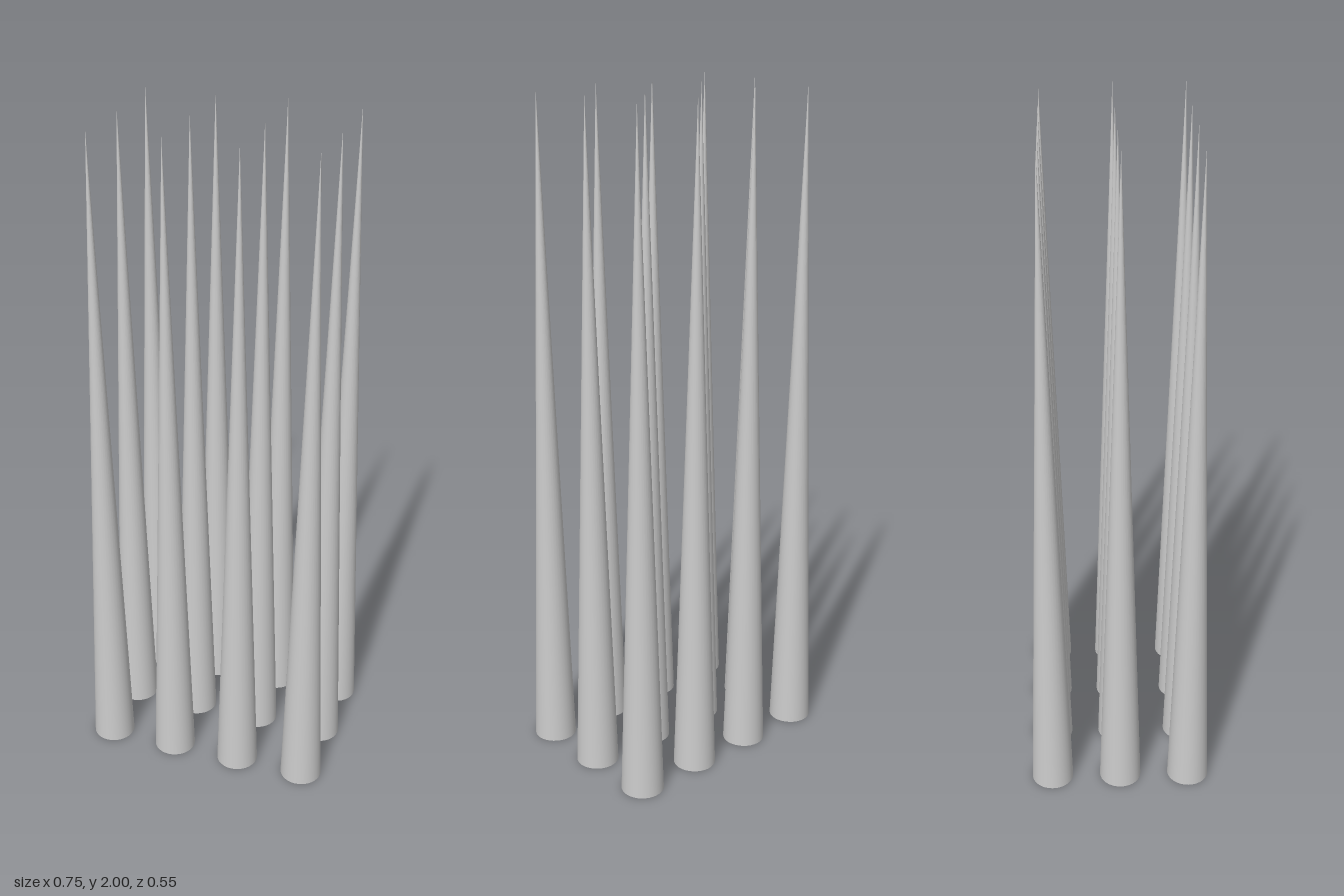
import * as THREE from 'three';

const COLUMNS = 4, ROWS = 3;
const SPACING = 0.2095, RADIUS = 0.063, HEIGHT = 2;

export function createModel() {
  const model = new THREE.Group();
  model.name = 'spikeGrid';
  const material = new THREE.MeshStandardMaterial({ color: 0xcccccc });

  // One tall, closed spike shared by every position in the grid
  const spikeGeometry = new THREE.ConeGeometry(RADIUS, HEIGHT, 32);
  spikeGeometry.translate(0, HEIGHT / 2, 0);

  // Rows run back to front, columns run along x
  for (let row = 0; row < ROWS; row++) {
    for (let column = 0; column < COLUMNS; column++) {
      const spike = new THREE.Mesh(spikeGeometry, material);
      spike.name = `spikeRow${row + 1}Column${column + 1}`;
      spike.position.set(
        (column - (COLUMNS - 1) / 2) * SPACING,
        0,
        (row - (ROWS - 1) / 2) * SPACING
      );
      model.add(spike);
    }
  }
  return model;
}
